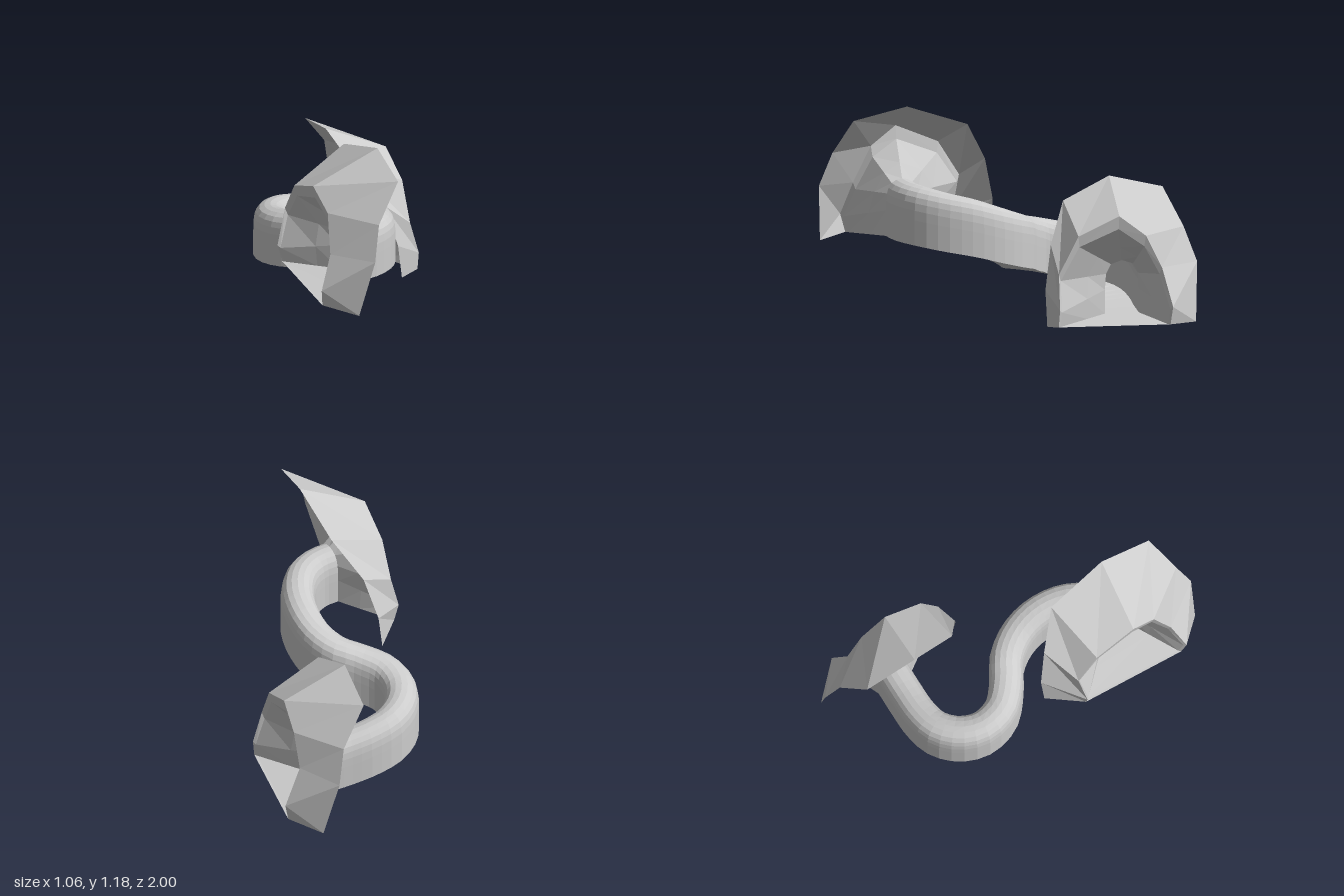
import * as THREE from 'three';

const stone = new THREE.MeshStandardMaterial({ color: 0xcccccc, side: THREE.DoubleSide });
stone.name = 'pale stone grey';

// Faceted sheet joining consecutive rings of equal point count
function loft(name, rings) {
  const pos = [];
  for (let i = 0; i < rings.length - 1; i++) {
    const a = rings[i], b = rings[i + 1];
    for (let j = 0; j < a.length - 1; j++) {
      for (const p of [a[j], a[j + 1], b[j], a[j + 1], b[j + 1], b[j]]) pos.push(...p);
    }
  }
  const geometry = new THREE.BufferGeometry();
  geometry.setAttribute('position', new THREE.Float32BufferAttribute(pos, 3));
  geometry.computeVertexNormals();
  const mesh = new THREE.Mesh(geometry, stone);
  mesh.name = name;
  return mesh;
}

// Flat floor strip between the two feet of every ring
const floorOf = (name, rings) => loft(name, rings.map(r => [r[r.length - 1], r[0]]));

const mix = (a, b, t) => a.map((p, i) => p.map((v, k) => v + (b[i][k] - v) * t));

// Arch section: sideways in half widths, upward in heights, mirrored
const halfArch = [[1, 0], [1, 0.25], [1, 0.45], [0.99, 0.62], [0.94, 0.75], [0.84, 0.85], [0.65, 0.93], [0.35, 0.98]];
const arch = [...halfArch, [0, 1], ...halfArch.map(([s, h]) => [-s, h]).reverse()];

// Floor centre line of the winding tunnel, from low mouth to high mouth
const path = new THREE.CatmullRomCurve3([
  [0.24, 0.04, -0.587], [0.1, 0.055, -0.59], [-0.05, 0.085, -0.59], [-0.18, 0.115, -0.56],
  [-0.28, 0.14, -0.47], [-0.322, 0.165, -0.35], [-0.29, 0.195, -0.22], [-0.19, 0.225, -0.125],
  [-0.07, 0.265, -0.05], [0.005, 0.31, 0.06], [0.033, 0.36, 0.2], [0.01, 0.395, 0.35],
  [-0.06, 0.42, 0.465], [-0.16, 0.43, 0.525], [-0.25, 0.435, 0.54],
].map(p => new THREE.Vector3(...p)));

// Rim of the rocky apron around a mouth; the high one has a wider inner flank
const lowRim = [
  [0.36, 0, -0.14], [0.335, 0.2, -0.135], [0.27, 0.44, -0.18], [0.13, 0.66, -0.28],
  [0.08, 0.78, -0.55], [0.085, 0.71, -0.85], [0.235, 0.51, -0.935], [0.285, 0.32, -1], [0.37, 0, -0.975],
];
const highRim = lowRim.map(([x, y, z]) => [x, y, z + Math.max(0, z + 0.55) * 0.3]);

// Edges of the two openings
const lowMouth = [
  [0.47, 0.015, -0.18], [0.48, 0.11, -0.185], [0.43, 0.3, -0.19], [0.43, 0.51, -0.3],
  [0.43, 0.614, -0.53], [0.43, 0.5, -0.68], [0.43, 0.32, -0.77], [0.53, 0.115, -0.81], [0.51, 0.015, -0.8],
];
const highMouth = [
  [0.5, 0.015, -0.2], [0.525, 0.115, -0.195], [0.47, 0.32, -0.17], [0.465, 0.51, -0.29],
  [0.455, 0.61, -0.53], [0.43, 0.505, -0.675], [0.455, 0.3, -0.77], [0.53, 0.115, -0.825], [0.515, 0.015, -0.8],
];

// Apron, lip, and neck narrowing into the tunnel end
function portal(name, place, rim, opening, tunnelEnd) {
  const group = new THREE.Group();
  group.name = name;
  const inset = opening.map(([x, y, z]) => [x - 0.012, y > 0.05 ? y * 0.88 : y, -0.5 + (z + 0.5) * 0.96]);
  const [outer, mouth, lip] = [rim, opening, inset].map(r => r.map(place));
  const end = tunnelEnd.filter((p, i) => i % 2 === 0);
  const neck = [lip, mix(end, lip, 0.4), end];
  group.add(
    loft('rockApron', [outer, mouth]),
    loft('mouthLip', [mouth, lip]),
    loft('neckWall', neck),
    floorOf('neckFloor', [mouth, ...neck]),
  );
  return group;
}

export function createModel() {
  const model = new THREE.Group();
  model.name = 'windingTunnel';

  // Tunnel cross-sections along the path
  const steps = 36, halfWidth = 0.095;
  const rings = [];
  for (let i = 0; i <= steps; i++) {
    const c = path.getPointAt(i / steps);
    const t = path.getTangentAt(i / steps).setY(0).normalize();
    const height = 0.295 + 0.02 * i / steps;
    rings.push(arch.map(([s, h]) => [c.x + t.z * s * halfWidth, c.y + h * height, c.z - t.x * s * halfWidth]));
  }
  model.add(loft('tunnelVault', rings), floorOf('tunnelFloor', rings));

  // Low mouth, then the high one turned half round
  model.add(portal('lowPortal', p => p, lowRim, lowMouth, rings[0]));
  const turned = ([x, y, z]) => [-x, y + 0.4, -z];
  model.add(portal('highPortal', turned, highRim, highMouth, [...rings[steps]].reverse()));
  return model;
}
